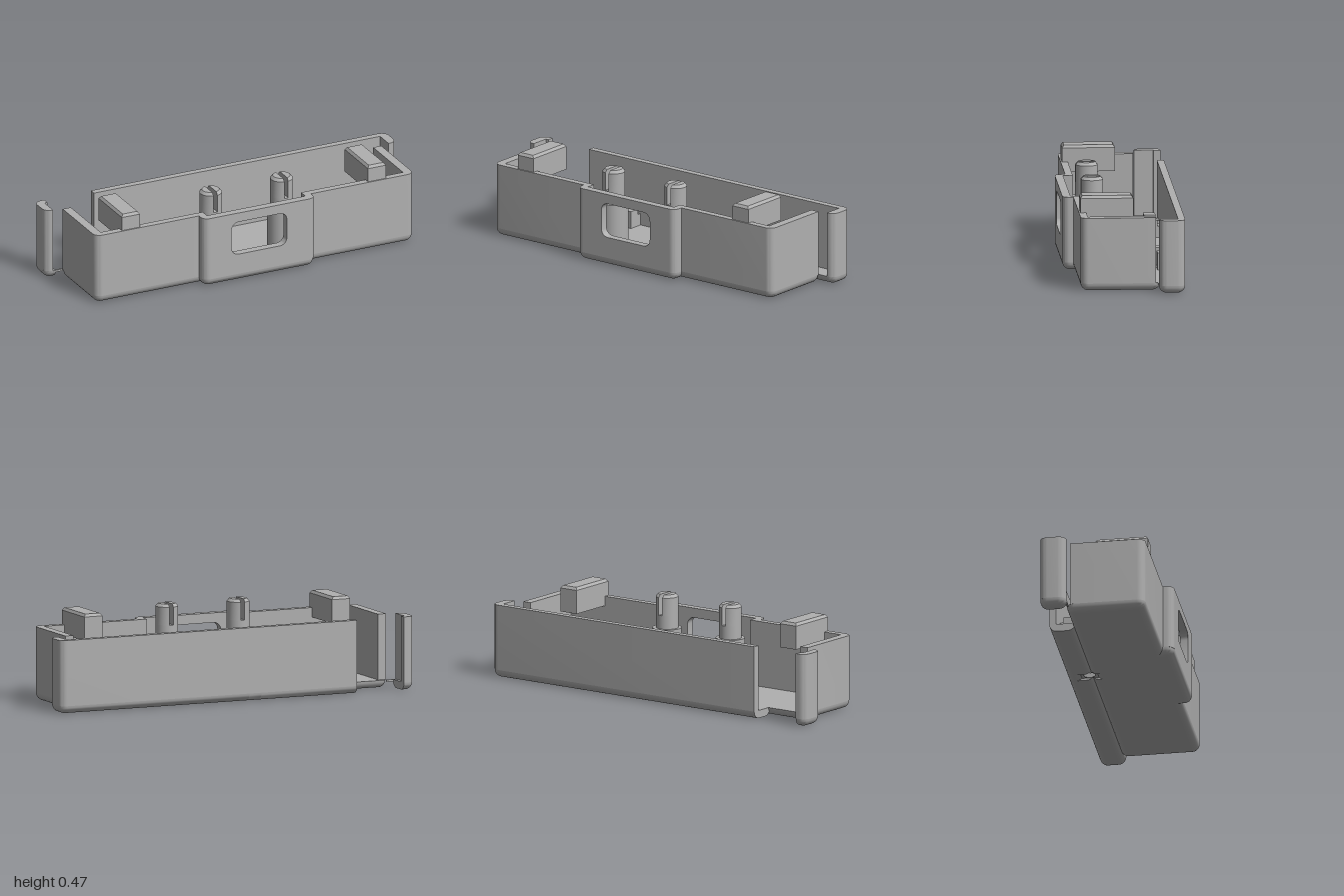
import * as THREE from 'three';
import { toCreasedNormals } from 'three/addons/utils/BufferGeometryUtils.js';

const H = 0.38, FLOOR = 0.04, R = 0.04;
const material = new THREE.MeshStandardMaterial({ color: 0xb0b0b0 });
material.name = 'grey plastic';

// Closed solid through convex rings listed bottom to top, anticlockwise from above
function loft(rings) {
  const n = rings[0].length, index = [];
  rings.forEach((ring, j) => {
    if (j === 0) return;
    for (let i = 0; i < n; i++) {
      const k = (i + 1) % n, a = (j - 1) * n, b = j * n;
      index.push(a + i, a + k, b + k, a + i, b + k, b + i);
    }
  });
  const top = (rings.length - 1) * n;
  for (let i = 1; i < n - 1; i++) {
    index.push(0, i + 1, i, top, top + i, top + i + 1);
  }
  const g = new THREE.BufferGeometry();
  g.setAttribute('position', new THREE.Float32BufferAttribute(rings.flat(2), 3));
  g.setIndex(index);
  return toCreasedNormals(g, 0.6);
}

// Rounded rectangle ring, inset by d; cut ends stay square
function rectRing(x0, x1, z0, z1, r, d, y, cutL, cutR) {
  const pts = [];
  const left = x0 + (cutL ? 0 : d), right = x1 - (cutR ? 0 : d);
  const back = z0 + d, front = z1 - d;
  [[right, back, -1, 1, cutR], [left, back, 1, 1, cutL],
    [left, front, 1, -1, cutL], [right, front, -1, -1, cutR]].forEach(([x, z, sx, sz, cut], q) => {
    const rr = cut ? 0 : Math.max(r - d, 0);
    for (let i = 0; i <= 6; i++) {
      const a = (q + i / 6) * Math.PI / 2;
      pts.push([x + sx * rr + rr * Math.cos(a), y, z + sz * rr - rr * Math.sin(a)]);
    }
  });
  return pts;
}

// Floor slab with rounded lower edges
function floorPad(x0, x1, z0, z1, cutL, cutR) {
  const rings = [];
  for (let i = 0; i <= 6; i++) {
    const a = i / 6 * Math.PI / 2;
    rings.push(rectRing(x0, x1, z0, z1, R, R * (1 - Math.sin(a)), FLOOR - R * Math.cos(a), cutL, cutR));
  }
  return loft(rings);
}

// Outline from [x, y, radius] corners
function outline(points) {
  const s = new THREE.Shape(), n = points.length;
  points.forEach(([x, y, r = 0], i) => {
    const towards = ([px, py], k) => {
      const l = Math.hypot(px - x, py - y);
      return [x + (px - x) / l * k, y + (py - y) / l * k];
    };
    const p = points[(i + n - 1) % n], q = points[(i + 1) % n];
    const a = towards(p, r);
    if (i === 0) s.moveTo(...a); else s.lineTo(...a);
    if (r) s.bezierCurveTo(...towards(p, r * 0.45), ...towards(q, r * 0.45), ...towards(q, r));
  });
  s.closePath();
  return s;
}

// Plan shape raised from y0 to y1
function raise(shape, y0, y1) {
  const g = new THREE.ExtrudeGeometry(shape, { depth: y1 - y0, bevelEnabled: false, curveSegments: 8 });
  g.rotateX(-Math.PI / 2).translate(0, y0, 0);
  return toCreasedNormals(g, 0.6);
}
const plan = (pts) => outline(pts.map(([x, z, r]) => [x, -z, r]));

function box(x0, x1, y0, y1, z0, z1) {
  return new THREE.BoxGeometry(x1 - x0, y1 - y0, z1 - z0)
    .translate((x0 + x1) / 2, (y0 + y1) / 2, (z0 + z1) / 2);
}

export function createModel() {
  const group = new THREE.Group();
  group.name = 'enclosure';
  const add = (name, geometry) => {
    const m = new THREE.Mesh(geometry, material);
    m.name = name;
    group.add(m);
    return m;
  };

  // Floor, divided around the drain hole
  const hx = -0.1, hz = -0.178, h0 = hx - 0.034, h1 = hx + 0.034;
  add('bodyFloorRight', floorPad(-0.906, h0, -0.17, 0.237, false, true));
  add('bodyFloorMiddle', floorPad(h0, h1, -0.145, 0.237, true, true));
  add('bodyFloorLeft', floorPad(h1, 0.906, -0.17, 0.237, true, false));
  add('bumpFloor', floorPad(-0.318, 0.318, 0.1, 0.292));
  add('backFloorRight', floorPad(-0.675, h0, -0.293, -0.158, true, true));
  add('backFloorMiddle', floorPad(h0, h1, -0.293, -0.21, true, true));
  add('backFloorLeft', floorPad(h1, 1, -0.293, -0.158, true, false));
  add('hookFloor', floorPad(-1, -0.94, -0.293, -0.158, false, true));
  add('hookBridge', box(-0.945, -0.9, 0.03, FLOOR, -0.168, -0.158));
  const holePlate = plan([[h0, -0.23], [h1, -0.23], [h1, -0.11], [h0, -0.11]]);
  holePlate.holes.push(new THREE.Path().absarc(hx, -hz, 0.03, 0, Math.PI * 2, true));
  add('drainHole', raise(holePlate, 0.012, FLOOR));

  // Side and front walls, mirrored
  for (const s of [1, -1]) {
    const pts = [[0.906, -0.148], [0.906, 0.237, R], [0.318, 0.237], [0.318, 0.292, 0.035], [0.28, 0.292],
      [0.28, 0.2], [0.86, 0.2], [0.86, -0.148]].map(([x, z, r]) => [s * x, z, r]);
    add(s > 0 ? 'leftWall' : 'rightWall', raise(plan(pts), FLOOR, H));
  }

  // Front panel with port opening
  const panel = outline([[-0.28, FLOOR], [0.28, FLOOR], [0.28, H], [-0.28, H]]);
  panel.holes.push(outline([[-0.16, 0.15, R], [-0.16, 0.33, R], [0.155, 0.33, R], [0.155, 0.15, R]]));
  const panelGeometry = new THREE.ExtrudeGeometry(panel, { depth: 0.042, bevelEnabled: false, curveSegments: 8 });
  add('portPanel', toCreasedNormals(panelGeometry.translate(0, 0, 0.25), 0.6));

  // Back wall with its returned end, and the separate corner hook
  add('backWall', raise(plan([[-0.675, -0.293], [1, -0.293, R], [1, -0.158, R], [0.953, -0.158],
    [0.953, -0.257], [-0.675, -0.257]]), FLOOR, H));
  add('cornerHook', raise(plan([[-0.94, -0.293], [-1, -0.293, R], [-1, -0.158, R], [-0.956, -0.158],
    [-0.956, -0.257], [-0.94, -0.257]]), FLOOR, H));

  // Chamfered lid tabs
  for (const x of [-0.703, 0.697]) {
    const ring = (d, y) => rectRing(x - 0.051, x + 0.051, -0.041, 0.23, 0, d, y);
    add('lidTab', loft([ring(0, 0.33), ring(0, 0.453), ring(0.01, 0.467)]));
  }

  // Slotted posts
  const half = (r, y) => {
    const a = Math.acos(0.011 / r), pts = [];
    for (let i = 0; i <= 14; i++) {
      const t = -a + 2 * a * i / 14;
      pts.push([r * Math.cos(t), y, -r * Math.sin(t)]);
    }
    return pts;
  };
  for (const x of [-0.203, 0.2]) {
    const place = (name, g) => add(name, g).position.set(x, 0, 0.135);
    place('postBase', new THREE.CylinderGeometry(0.075, 0.075, 0.25, 32).translate(0, 0.165, 0));
    place('postStem', new THREE.CylinderGeometry(0.058, 0.058, 0.07, 32).translate(0, 0.325, 0));
    for (const turn of [0, Math.PI]) {
      place('postProng', loft([half(0.058, 0.36), half(0.058, 0.453), half(0.045, 0.468)]).rotateY(turn));
    }
  }

  // Low board clips along the back wall
  for (const x of [-0.525, -0.375, 0.37, 0.52]) {
    add('boardClip', box(x - 0.036, x + 0.036, FLOOR, 0.13, -0.238, -0.178));
    add('boardClipRoot', box(x - 0.036, x + 0.036, FLOOR, 0.1, -0.258, -0.238));
  }
  return group;
}
